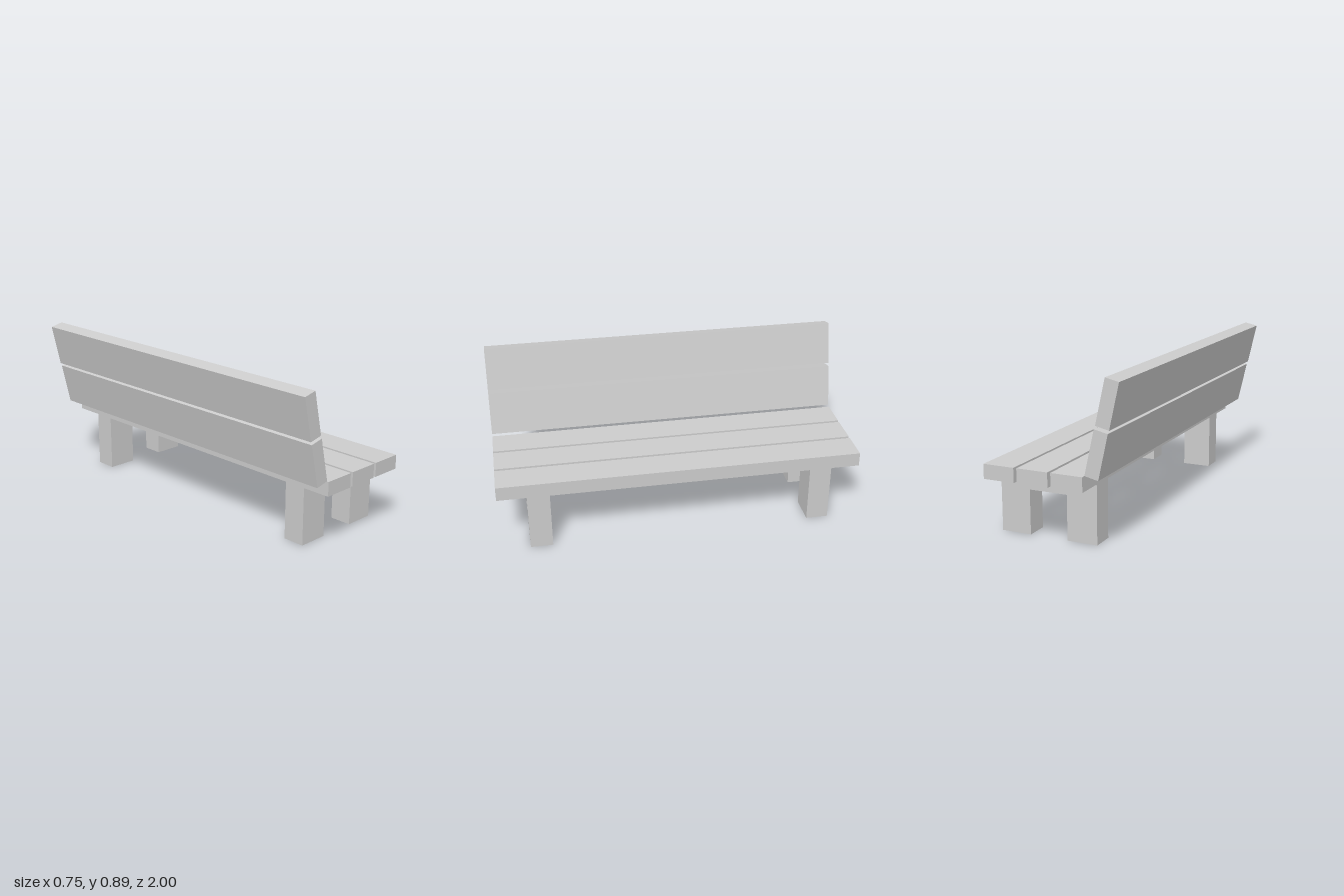
import * as THREE from 'three';

export function createModel() {
  const bench = new THREE.Group();
  bench.name = 'bench';
  const grey = new THREE.MeshStandardMaterial({ color: 0xcccccc });
  grey.name = 'light grey';

  const plank = (name, w, h, x, y, tilt = 0) => {
    const mesh = new THREE.Mesh(new THREE.BoxGeometry(w, h, 2), grey);
    mesh.name = name;
    mesh.position.set(x, y, 0);
    mesh.rotation.z = tilt;
    bench.add(mesh);
  };

  // Seat: three long slats with narrow gaps
  [-0.0925, 0.0975, 0.2875].forEach((x, i) => plank(`seatSlat${i + 1}`, 0.173, 0.078, x, 0.359));

  // Backrest: two boards leaning back
  const lean = 0.22;
  plank('lowerBackBoard', 0.0745, 0.239, -0.2535, 0.5145, lean);
  plank('upperBackBoard', 0.0745, 0.239, -0.3125, 0.7645, lean);

  // Supports: an arch-shaped leg frame near each end
  const arch = new THREE.Shape([
    [-0.174, 0], [-0.006, 0], [-0.006, 0.241], [0.207, 0.241],
    [0.207, 0], [0.374, 0], [0.374, 0.32], [-0.174, 0.32],
  ].map(([x, y]) => new THREE.Vector2(x, y)));
  const frame = new THREE.ExtrudeGeometry(arch, { depth: 0.122, bevelEnabled: false });
  frame.translate(0, 0, -0.061);
  for (const side of [-1, 1]) {
    const legs = new THREE.Mesh(frame, grey);
    legs.name = side > 0 ? 'frontLegFrame' : 'backLegFrame';
    legs.position.z = side * 0.779;
    bench.add(legs);
  }

  return bench;
}
